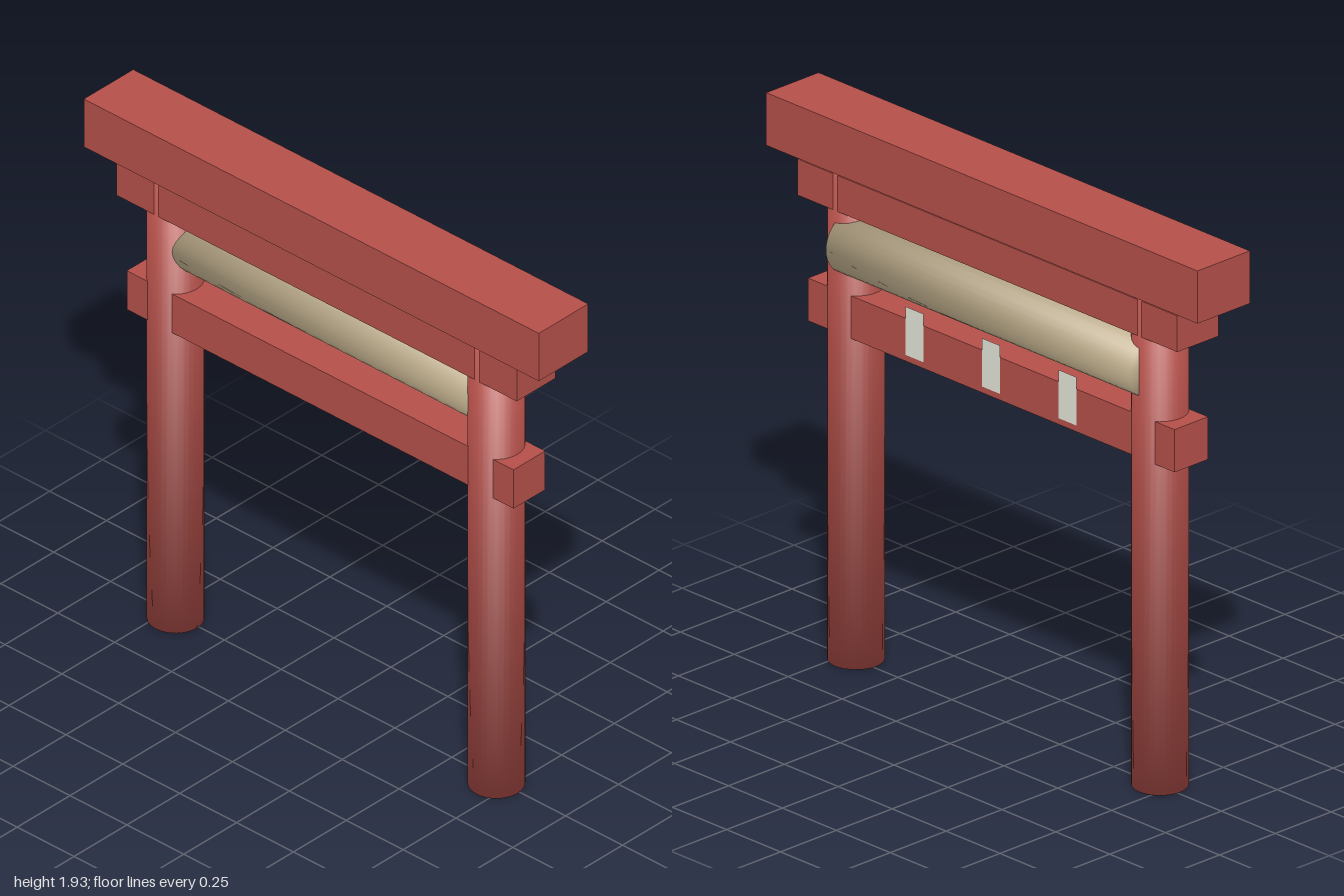
import * as THREE from 'three';

const red = new THREE.MeshStandardMaterial({ color: 0xb5504a });
const straw = new THREE.MeshStandardMaterial({ color: 0xbfae8c });
const paper = new THREE.MeshStandardMaterial({ color: 0xe4e6da, side: THREE.DoubleSide });

const Z = 0.01; // depth of the frame's centre line

// Cylinder whose rims are shaded softly into the end caps
function softCylinder(radius, length) {
  const g = new THREE.CylinderGeometry(radius, radius, length, 32);
  const p = g.attributes.position;
  const n = new THREE.Vector3();
  for (let i = 0; i < p.count; i++) {
    n.set(p.getX(i) / radius, Math.sign(p.getY(i)), p.getZ(i) / radius).normalize();
    g.attributes.normal.setXYZ(i, n.x, n.y, n.z);
  }
  return g;
}

export function createModel() {
  const gate = new THREE.Group();
  gate.name = 'gate';

  const add = (name, geometry, material, x, y, z) => {
    const mesh = new THREE.Mesh(geometry, material);
    mesh.name = name;
    mesh.position.set(x, y, z);
    gate.add(mesh);
    return mesh;
  };
  const beam = (name, width, bottom, top, depth) =>
    add(name, new THREE.BoxGeometry(width, top - bottom, depth), red, 0, (bottom + top) / 2, Z);

  // Horizontal beams
  beam('topBeam', 2, 1.745, 1.93, 0.234);
  beam('underBeam', 1.76, 1.6, 1.727, 0.184);
  beam('tieBeam', 1.7, 1.163, 1.313, 0.15);

  // Round posts
  for (const side of [1, -1]) {
    add(side > 0 ? 'leftPost' : 'rightPost', softCylinder(0.093, 1.76), red, side * 0.705, 0.88, Z);
  }

  // Thick straw rope strung between the posts
  add('rope', softCylinder(0.105, 1.41), straw, 0, 1.475, -0.02).rotation.z = Math.PI / 2;

  // Paper strips lying against the back of the tie beam
  for (const x of [-0.355, 0, 0.355]) {
    add('paperStrip', new THREE.PlaneGeometry(0.083, 0.17), paper, x, 1.27, -0.0655);
  }

  return gate;
}
